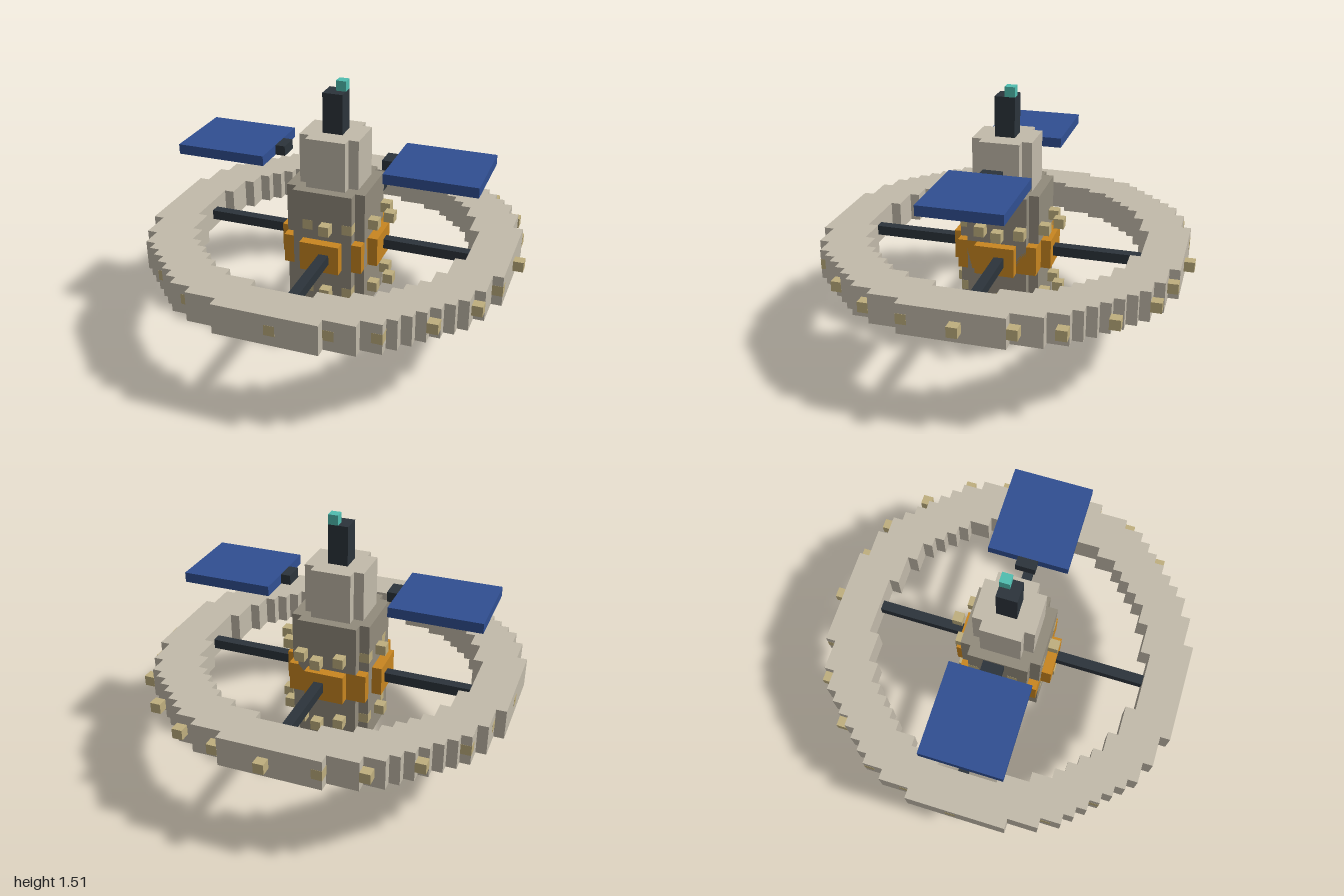
import * as THREE from 'three';

const U = 2 / 37; // edge of one block

const mat = (name, color) => {
  const m = new THREE.MeshStandardMaterial({ color });
  m.name = name;
  return m;
};

// Stepped outline of a disc made of square blocks
function steppedOutline(radius) {
  const n = Math.ceil(radius);
  const right = [];
  for (let k = -n; k < n; k++) {
    let w = 0;
    while ((w + 0.5) ** 2 + (k + 0.5) ** 2 <= radius * radius) w++;
    if (w === 0) continue;
    for (const y of [k, k + 1]) {
      const last = right[right.length - 1];
      if (!last || last.x !== w || last.y !== y) right.push(new THREE.Vector2(w, y));
    }
  }
  const left = right.map((p) => new THREE.Vector2(-p.x, p.y)).reverse();
  return right.concat(left);
}

export function createModel() {
  const hull = mat('pale hull', 0xc2baaa);
  const core = mat('grey hull', 0x928b7c);
  const dark = mat('dark metal', 0x2c343b);
  const blue = mat('solar blue', 0x304f92);
  const amber = mat('amber', 0xc88620);
  const sand = mat('window sand', 0xbfaf7e);
  const teal = mat('teal light', 0x50beb0);

  const model = new THREE.Group();
  model.name = 'spaceStation';
  // Block grid: integer edges, with the hub axis half a block off centre
  const station = new THREE.Group();
  station.name = 'station';
  station.scale.setScalar(U);
  station.position.set(-U / 2, 0, U / 2);
  model.add(station);

  function add(name, geometry, material) {
    const mesh = new THREE.Mesh(geometry, material);
    mesh.name = name;
    station.add(mesh);
    return mesh;
  }

  // Box given by its edges in blocks
  function box(name, material, [x0, x1], [y0, y1], [z0, z1], grow = 0) {
    const g = new THREE.BoxGeometry(x1 - x0 + grow, y1 - y0 + grow, z1 - z0 + grow);
    g.translate((x0 + x1) / 2, (y0 + y1) / 2, (z0 + z1) / 2);
    return add(name, g, material);
  }

  // Upright stepped disc, optionally with a stepped hole
  function disc(name, material, radius, y0, y1, hole) {
    const shape = new THREE.Shape(steppedOutline(radius));
    if (hole) shape.holes.push(new THREE.Path(steppedOutline(hole)));
    const g = new THREE.ExtrudeGeometry(shape, { depth: y1 - y0, bevelEnabled: false });
    g.rotateX(-Math.PI / 2);
    g.translate(0, y0, 0);
    return add(name, g, material);
  }

  // Central column, bottom to top
  box('bottomLight', teal, [-1, 1], [0, 1], [-1, 1]);
  box('dockingPort', dark, [-2, 2], [1, 5], [-2, 2]);
  disc('coreBody', core, 4.5, 5, 18);
  disc('hubCollar', amber, 5, 10, 13);
  disc('upperTower', hull, 3.2, 18, 23);
  box('mast', dark, [-1, 1], [23, 27], [-1, 1]);
  box('mastLight', teal, [0, 1], [27, 28], [-1, 0]);

  // Habitat ring and its four spokes
  disc('habitatRing', hull, 18.25, 10, 13, 13.75);
  for (const s of [-1, 1]) {
    const span = s < 0 ? [-14, -4] : [4, 14];
    box('spoke', dark, span, [11, 12], [-1, 0]);
    box('spoke', dark, [0, 1], [11, 12], span);
  }

  // Solar panels with short arms
  for (const s of [-1, 1]) {
    box('panelArm', dark, s < 0 ? [-6, -5] : [5, 6], [20, 21], [-1, 1]);
    box('solarPanel', blue, s < 0 ? [-15, -6] : [6, 15], [20, 21], [-4, 4]);
  }

  // Window blocks, a hair oversize so the flush ones still show
  const windowBlock = (name, i, y, k) =>
    box(name, sand, [i, i + 1], [y, y + 1], [k - 1, k], 0.03);
  for (let n = 0; n < 24; n++) {
    const a = (n * Math.PI) / 12;
    windowBlock('ringWindow', Math.round(18 * Math.cos(a)), 11, Math.round(18 * Math.sin(a)));
  }
  const hubSpots = [[5, 0], [-5, 0], [0, 5], [0, -5]];
  for (const sx of [-1, 1])
    for (const sz of [-1, 1]) hubSpots.push([4 * sx, 2 * sz], [2 * sx, 4 * sz]);
  for (const y of [7, 14]) for (const [i, k] of hubSpots) windowBlock('hubWindow', i, y, k);

  return model;
}
